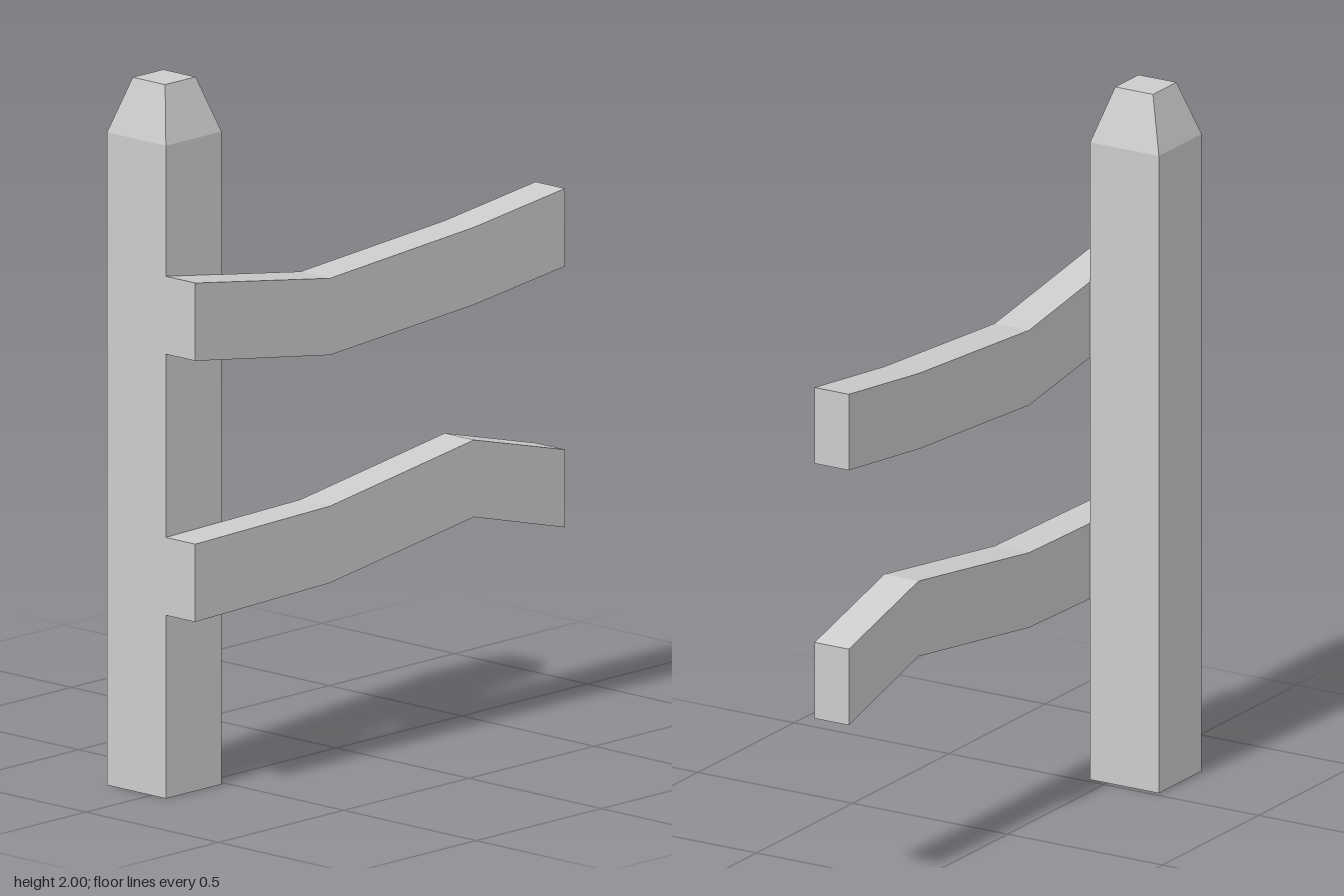
import * as THREE from 'three';

const material = new THREE.MeshStandardMaterial({ color: 0xcccccc, flatShading: true });

function addMesh(group, geometry, name) {
  const mesh = new THREE.Mesh(geometry, material);
  mesh.name = name;
  group.add(mesh);
  return mesh;
}

// Square column with half-widths at its bottom and top
function squareColumn(bottom, top, height) {
  const g = new THREE.CylinderGeometry(top * Math.SQRT2, bottom * Math.SQRT2, height, 4, 1, false);
  g.rotateY(Math.PI / 4);
  return g.translate(0, height / 2, 0);
}

// Bent plank: rows of [z, bottom y, top y], extruded across x
function bentRail(rows, thickness) {
  const outline = [
    ...rows.map(([z, low]) => new THREE.Vector2(-z, low)),
    ...[...rows].reverse().map(([z, , high]) => new THREE.Vector2(-z, high)),
  ];
  const g = new THREE.ExtrudeGeometry(new THREE.Shape(outline), { depth: thickness, bevelEnabled: false });
  return g.rotateY(Math.PI / 2);
}

export function createModel() {
  const group = new THREE.Group();
  group.name = 'fenceSection';

  // Square post with a tapered, flat-topped cap
  const post = new THREE.Group();
  post.name = 'post';
  post.position.set(-0.057, 0, 0.627);
  addMesh(post, squareColumn(0.111, 0.111, 1.845), 'postShaft');
  addMesh(post, squareColumn(0.111, 0.061, 0.155), 'postCap').position.y = 1.845;
  group.add(post);

  // Two crooked rails fixed to the side of the post
  const rails = {
    upperRail: [[0.738, 1.256, 1.476], [0.2, 1.175, 1.392], [-0.375, 1.213, 1.432], [-0.738, 1.256, 1.476]],
    lowerRail: [[0.738, 0.518, 0.738], [0.2, 0.531, 0.748], [-0.375, 0.613, 0.831], [-0.738, 0.518, 0.738]],
  };
  for (const [name, rows] of Object.entries(rails)) {
    addMesh(group, bentRail(rows, 0.111), name).position.x = 0.054;
  }
  return group;
}
